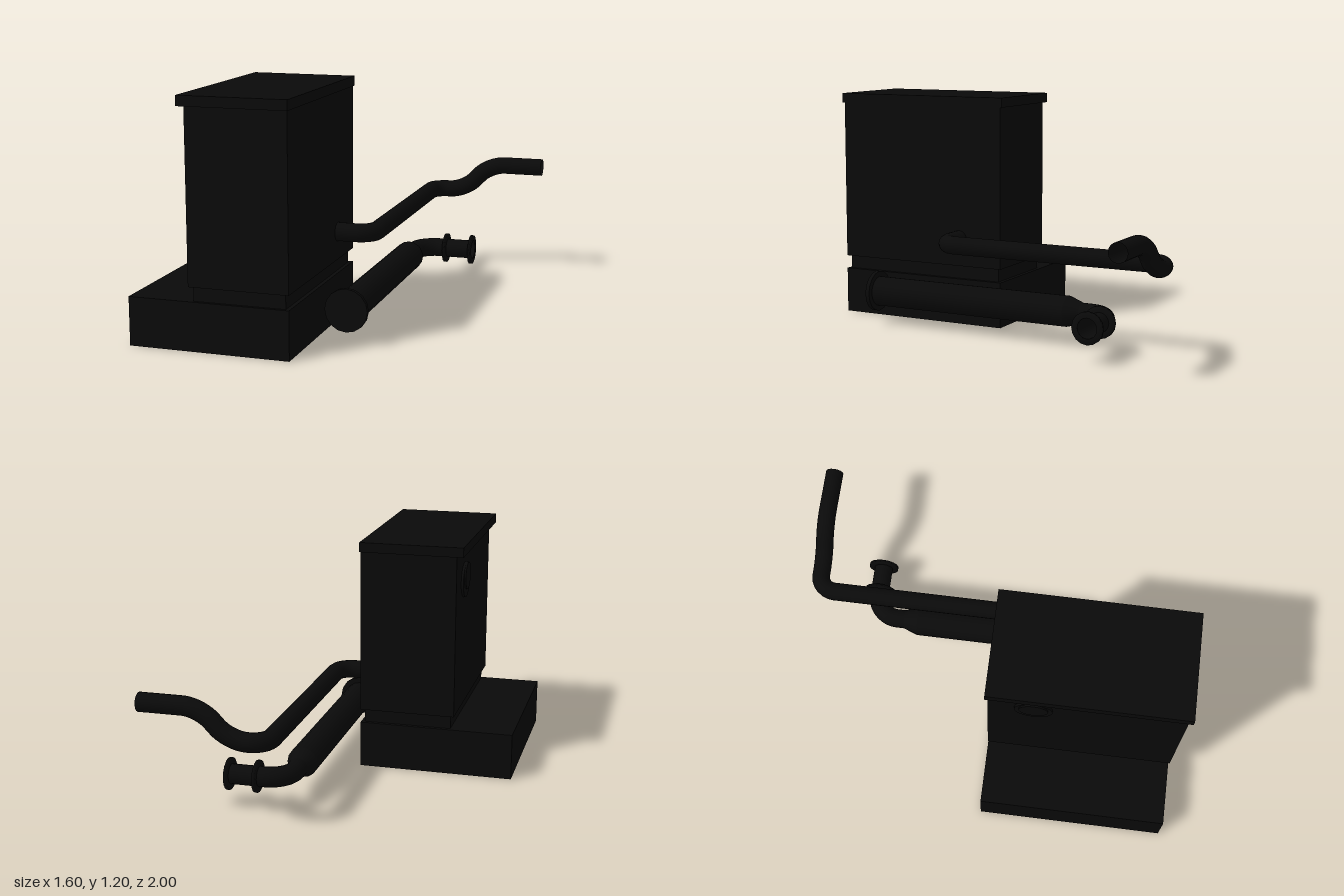
import * as THREE from 'three';

const mat = new THREE.MeshStandardMaterial({ color: 0x0a0a0a, side: THREE.DoubleSide });
const V = (x, y, z) => new THREE.Vector3(x, y, z);

export function createModel() {
  const model = new THREE.Group();

  const add = (name, geometry, x = 0, y = 0, z = 0) => {
    const mesh = new THREE.Mesh(geometry, mat);
    mesh.name = name;
    mesh.position.set(x, y, z);
    model.add(mesh);
    return mesh;
  };

  // Sheet-metal box; faces in `open` are left out (2 = top, 3 = bottom)
  const shell = (name, [x0, x1], [y0, y1], [z0, z1], open = []) => {
    const g = new THREE.BoxGeometry(x1 - x0, y1 - y0, z1 - z0);
    const index = Array.from(g.index.array);
    g.setIndex(index.filter((_, i) => !open.includes(Math.floor(i / 6))));
    g.clearGroups();
    return add(name, g, (x0 + x1) / 2, (y0 + y1) / 2, (z0 + z1) / 2);
  };

  // Flat rectangular rim joining the recessed neck to the boxes
  const rim = (name, y) => {
    const rect = (T, a, b, c, d) => new T([[a, c], [b, c], [b, d], [a, d]]
      .map(([x, z]) => new THREE.Vector2(x, -z)));
    const s = rect(THREE.Shape, -0.495, 0, 0.04, 0.99);
    s.holes.push(rect(THREE.Path, -0.475, -0.02, 0.06, 0.975));
    add(name, new THREE.ShapeGeometry(s).rotateX(-Math.PI / 2), 0, y, 0);
  };

  // Round pipe along points, each inner corner rounded by `cut`
  const pipe = (name, points, radius, cut) => {
    const path = new THREE.CurvePath();
    let last = points[0];
    for (let i = 1; i < points.length - 1; i++) {
      const p = points[i];
      const toward = (q) => p.clone().add(q.clone().sub(p).setLength(cut));
      const a = toward(points[i - 1]), b = toward(points[i + 1]);
      const mid = (q) => q.clone().lerp(p, 0.55);
      path.add(new THREE.LineCurve3(last, a));
      path.add(new THREE.CubicBezierCurve3(a, mid(a), mid(b), b));
      last = b;
    }
    path.add(new THREE.LineCurve3(last, points[points.length - 1]));
    add(name, new THREE.TubeGeometry(path, 100, radius, 16, false));
  };

  // Lathe with its axis along z or x
  const turned = (name, profile, x, y, z, axis = 'z') => {
    const g = new THREE.LatheGeometry(profile.map(([r, h]) => new THREE.Vector2(r, h)), 16);
    if (axis === 'z') g.rotateX(Math.PI / 2);
    else g.rotateZ(-Math.PI / 2);
    return add(name, g, x, y, z);
  };

  // Plinth: front step and tower base, open underneath
  shell('step', [-0.8, -0.495], [0, 0.24], [0.04, 0.99], [0, 3]);
  shell('towerBase', [-0.495, 0], [0, 0.24], [0.04, 0.99], [1, 2, 3]);
  rim('baseRim', 0.24);
  shell('neck', [-0.475, -0.02], [0.24, 0.31], [0.06, 0.975], [2, 3]);
  rim('bodyRim', 0.31);

  // Cabinet and lid
  shell('cabinet', [-0.495, 0], [0.31, 1.15], [0.04, 0.99], [2, 3]);
  shell('lid', [-0.53, 0.005], [1.15, 1.2], [0.03, 1]);

  // Round fitting on the cabinet's side
  const disc = (name, r, h, x, y) =>
    add(name, new THREE.CylinderGeometry(r, r, h, 24).rotateZ(Math.PI / 2), x, y, 0.26);
  disc('fittingPlate', 0.092, 0.012, -0.501, 0.988);
  disc('fittingCap', 0.07, 0.01, -0.51, 1.01);

  // Upper pipe from the cabinet, with two bends and a rise
  pipe('upperPipe', [
    V(-0.02, 0.452, 0.285), V(0.18, 0.452, 0.285), V(0.18, 0.452, -0.953),
    V(0.36, 0.452, -0.953), V(0.5, 0.603, -0.953), V(0.8, 0.603, -0.953),
  ], 0.047, 0.085);

  // Lower drum with its front flange and tapered rear
  add('drumFlange', new THREE.CylinderGeometry(0.106, 0.106, 0.022, 16)
    .rotateX(Math.PI / 2), 0.173, 0.172, 0.68);
  turned('drum', [[0.078, 0.68], [0.078, -0.43]], 0.173, 0.172, 0);
  turned('drumTaper', [[0.078, -0.43], [0.05, -0.505]], 0.173, 0.172, 0);

  // Outlet elbow with two flanges
  pipe('outletPipe', [
    V(0.173, 0.172, -0.5), V(0.173, 0.172, -0.666), V(0.475, 0.172, -0.666),
  ], 0.05, 0.12);
  for (const x of [0.325, 0.468]) {
    turned('outletFlange', [
      [0.05, -0.008], [0.08, -0.008], [0.08, 0.008], [0.05, 0.008],
    ], x, 0.172, -0.666, 'x');
  }

  return model;
}
